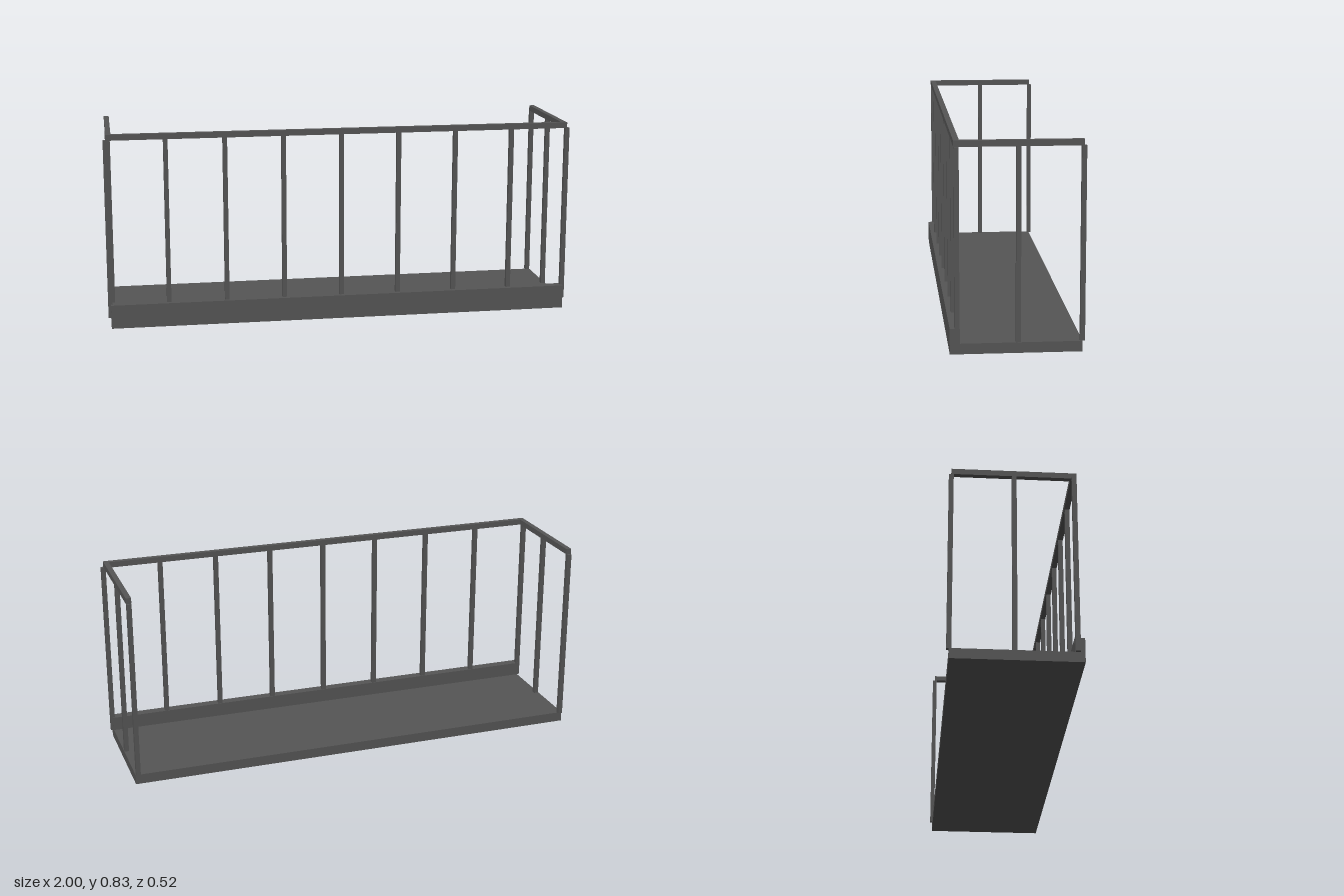
import * as THREE from 'three';

export function createModel() {
  const group = new THREE.Group();
  const material = new THREE.MeshStandardMaterial({ color: 0x555555 });

  // Box given by its minimum and maximum corners
  function box(name, [x0, y0, z0], [x1, y1, z1]) {
    const mesh = new THREE.Mesh(new THREE.BoxGeometry(x1 - x0, y1 - y0, z1 - z0), material);
    mesh.position.set((x0 + x1) / 2, (y0 + y1) / 2, (z0 + z1) / 2);
    mesh.name = name;
    group.add(mesh);
  }

  const halfLength = 0.988, floorTop = 0.042, railBottom = 0.803, railTop = 0.827;
  const railWidth = 0.022, postHalf = 0.0095;

  function post(name, x, z) {
    box(name, [x - postHalf, floorTop, z - postHalf], [x + postHalf, railBottom, z + postHalf]);
  }

  // Floor slab and raised front kerb
  box('floor', [-halfLength, 0, -0.25], [halfLength, floorTop, 0.245]);
  box('frontKerb', [-halfLength, 0, 0.222], [halfLength, 0.101, 0.262]);

  // Front railing
  box('frontRail', [-halfLength, railBottom, 0.222], [halfLength, railTop, 0.245]);
  for (let i = 0; i <= 8; i++) post('frontPost', -0.99 + i * 0.2475, 0.2345);

  // Side railings; the back stays open
  for (const [side, s] of [['left', 1], ['right', -1]]) {
    const x = s * (halfLength - railWidth / 2);
    box(side + 'Rail', [x - railWidth / 2, railBottom, -0.25], [x + railWidth / 2, railTop, 0.222]);
    post(side + 'MiddlePost', x, -0.002);
    post(side + 'BackPost', x, -0.25);
  }

  return group;
}
